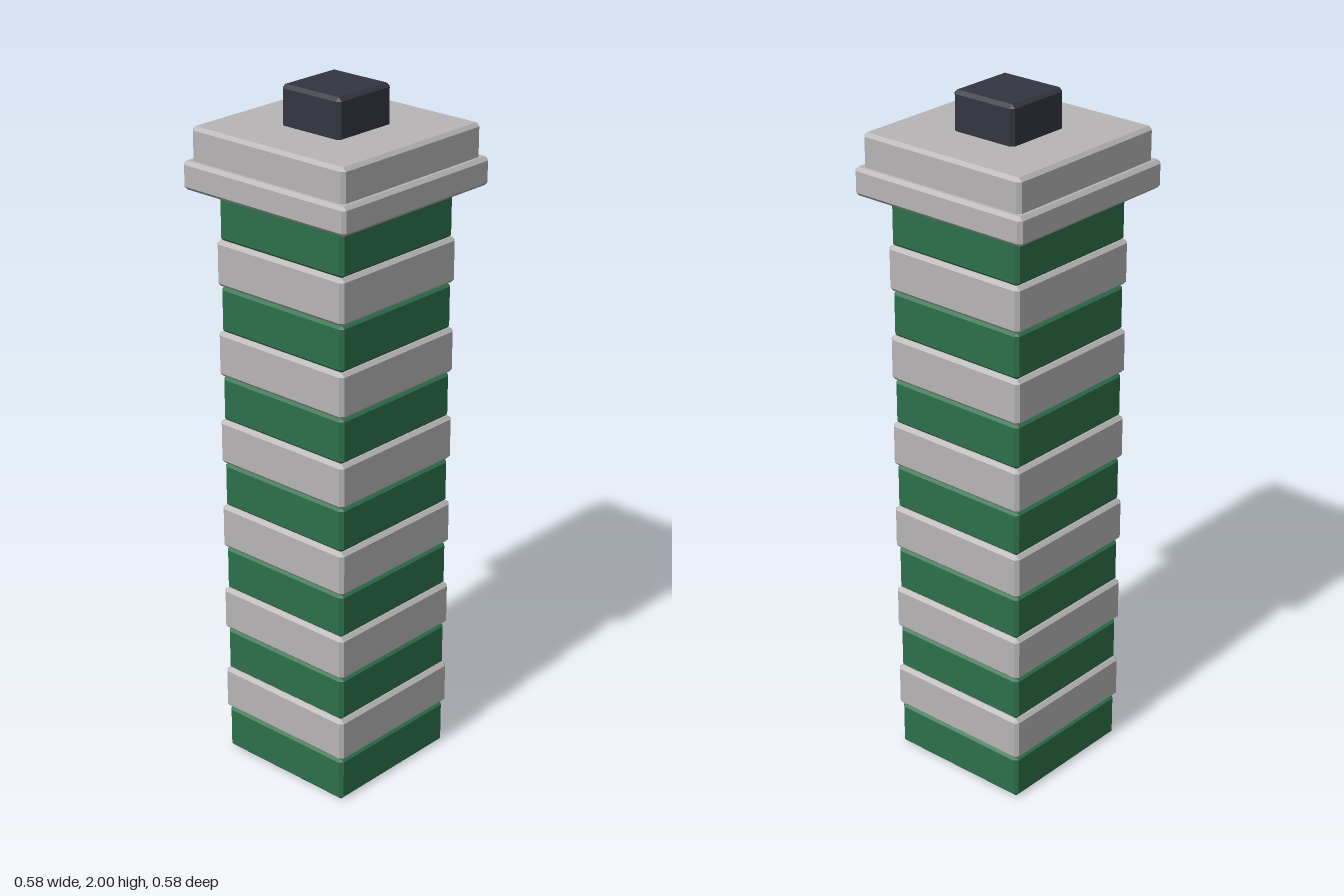
import * as THREE from 'three';
import { ConvexGeometry } from 'three/addons/geometries/ConvexGeometry.js';

// Square block with chamfered edges, spanning y0..y1
function block(half, y0, y1, bevel) {
  const points = [];
  const hy = (y1 - y0) / 2;
  for (const sx of [-1, 1]) for (const sy of [-1, 1]) for (const sz of [-1, 1]) {
    for (let axis = 0; axis < 3; axis++) {
      const inset = [bevel, bevel, bevel];
      inset[axis] = 0;
      points.push(new THREE.Vector3(
        sx * (half - inset[0]), sy * (hy - inset[1]), sz * (half - inset[2])));
    }
  }
  const geometry = new ConvexGeometry(points);
  geometry.translate(0, (y0 + y1) / 2, 0);
  return geometry;
}

export function createModel() {
  const green = new THREE.MeshStandardMaterial({ name: 'green', color: 0x2d704a });
  const grey = new THREE.MeshStandardMaterial({ name: 'pale grey', color: 0xb8b5b6 });
  const dark = new THREE.MeshStandardMaterial({ name: 'dark slate', color: 0x353541 });

  const tower = new THREE.Group();
  tower.name = 'tower';
  const add = (name, material, half, y0, y1, bevel = 0.01) => {
    const mesh = new THREE.Mesh(block(half, y0, y1, bevel), material);
    mesh.name = name;
    tower.add(mesh);
  };

  // Alternating storeys: recessed green glazing and wider grey bands
  const step = 0.131;
  for (let i = 0; i < 7; i++) {
    const y = i * 2 * step;
    add(`glazing${i + 1}`, green, 0.222, y, y + step + 0.003);
    add(`band${i + 1}`, grey, 0.229, y + step + 0.003, y + 2 * step + 0.003);
  }

  // Stepped cornice and rooftop unit
  add('corniceLedge', grey, 0.288, 1.717, 1.797);
  add('roofSlab', grey, 0.27, 1.787, 1.89);
  add('roofUnit', dark, 0.103, 1.87, 2);

  return tower;
}
